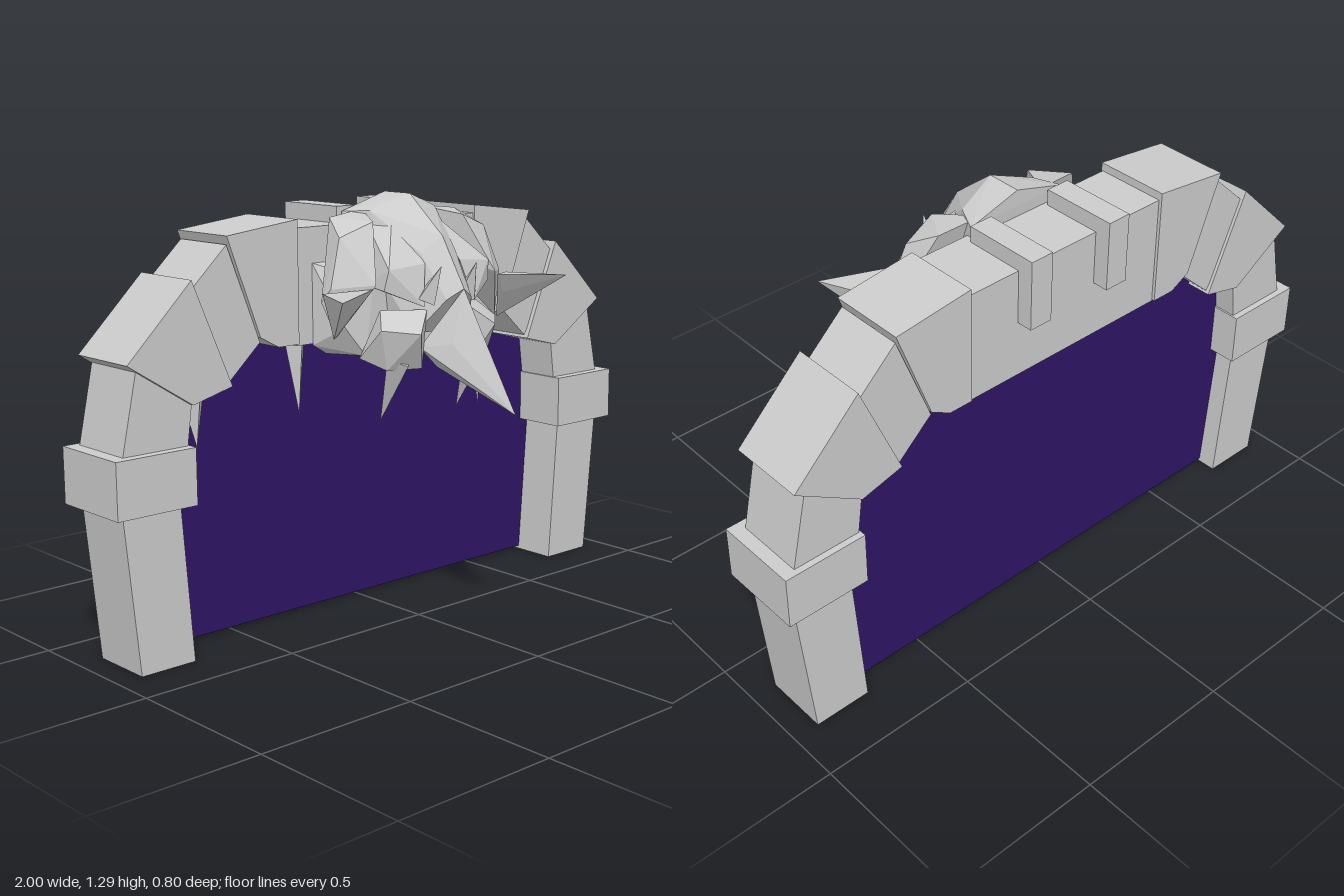
import * as THREE from 'three';
import { ConvexGeometry } from 'three/addons/geometries/ConvexGeometry.js';

const stone = new THREE.MeshStandardMaterial({ color: 0xcccccc, flatShading: true });
const portalMat = new THREE.MeshStandardMaterial({ color: 0x2e1565, side: THREE.DoubleSide });

const toShape = (pts) => new THREE.Shape(pts.map(([x, y]) => new THREE.Vector2(x, y)));

function add(parent, name, geometry, material = stone) {
  const mesh = new THREE.Mesh(geometry, material);
  mesh.name = name;
  parent.add(mesh);
  return mesh;
}

// Stone block: a front outline extruded from zBack to zFront
function block(parent, name, pts, zBack, zFront) {
  const geo = new THREE.ExtrudeGeometry(toShape(pts), { depth: zFront - zBack, bevelEnabled: false });
  geo.translate(0, 0, zBack);
  return add(parent, name, geo);
}

// Faceted chunk: convex hull of a few corners
const chunk = (parent, name, pts) =>
  add(parent, name, new ConvexGeometry(pts.map((p) => new THREE.Vector3(...p))));

const mirrored = (pts, s) => pts.map(([x, ...rest]) => [x * s, ...rest]);
const bothSides = (pts) => [...pts, ...mirrored(pts, -1)];

// Pointed four-sided spike from a base centre to a tip
function spike(parent, name, base, tip, radius) {
  const a = new THREE.Vector3(...base), b = new THREE.Vector3(...tip);
  const dir = b.clone().sub(a);
  const geo = new THREE.ConeGeometry(radius, dir.length(), 4);
  geo.translate(0, dir.length() / 2, 0);
  const mesh = add(parent, name, geo);
  mesh.position.copy(a);
  mesh.quaternion.setFromUnitVectors(new THREE.Vector3(0, 1, 0), dir.normalize());
  return mesh;
}

export function createModel() {
  const model = new THREE.Group();
  model.name = 'gateway';

  // Arch stones, mirrored left and right
  const stones = [
    ['pillar', [[0.74, 0], [0.92, 0], [0.965, 0.48], [0.775, 0.48]], -0.34, -0.138],
    ['pillarCap', [[0.74, 0.465], [1, 0.465], [1, 0.63], [0.74, 0.63]], -0.37, -0.105],
    ['springStone', [[0.75, 0.6], [0.965, 0.6], [0.895, 0.92], [0.72, 0.82]], -0.35, -0.135],
    ['lowerVoussoir', [[0.945, 0.88], [0.73, 1.09], [0.6, 0.78], [0.735, 0.745]], -0.36, -0.12],
    ['upperVoussoir', [[0.755, 1.03], [0.6, 1.175], [0.49, 0.89], [0.6, 0.79]], -0.35, -0.135],
    ['shoulderStone', [[0.605, 1.2], [0.355, 1.23], [0.355, 0.87], [0.43, 0.87], [0.495, 0.905]], -0.36, -0.125],
  ];
  for (const [side, s] of [['left', 1], ['right', -1]]) {
    const half = new THREE.Group();
    half.name = `${side}Arch`;
    for (const [name, pts, z0, z1] of stones) block(half, name, mirrored(pts, s), z0, z1);
    // Clamp hooked over the lintel
    const clamp = add(half, 'clamp', new THREE.BoxGeometry(0.075, 0.215, 0.24));
    clamp.position.set(0.143 * s, 1.147, -0.28);
    model.add(half);
  }
  block(model, 'lintel', [[-0.36, 0.865], [0.36, 0.865], [0.36, 1.205], [-0.36, 1.205]], -0.35, -0.13);

  // Portal sheet
  const outline = bothSides([[0.75, 0.01], [0.8, 0.55], [0.74, 0.82], [0.6, 0.9], [0.48, 0.95]]);
  outline.splice(5, 5, ...outline.slice(5).reverse());
  const portal = add(model, 'portal', new THREE.ShapeGeometry(toShape(outline)), portalMat);
  portal.position.z = -0.28;

  // Spikes hanging under the arch
  spike(model, 'hangingSpike', [-0.67, 0.78, -0.22], [-0.67, 0.6, -0.2], 0.045);
  spike(model, 'hangingSpike', [-0.315, 0.89, -0.2], [-0.315, 0.65, -0.18], 0.04);
  spike(model, 'hangingSpike', [0.45, 0.91, -0.21], [0.45, 0.57, -0.2], 0.045);

  // Beaked skull on the lintel
  const skull = new THREE.Group();
  skull.name = 'skull';
  model.add(skull);
  chunk(skull, 'crown', [
    [0, 1.29, -0.15], [0, 1.29, -0.04], [0, 1.175, 0.1], [0, 1.03, 0.19],
    ...bothSides([[0.17, 1.24, -0.15], [0.13, 1.245, -0.07], [0.07, 1.13, 0.08],
      [0.05, 1.0, 0.17], [0.11, 0.9, 0.1], [0.13, 0.9, -0.13]]),
  ]);
  chunk(skull, 'beak', [
    [0, 1.03, 0.19], [0, 0.69, 0.4], [0, 0.84, 0.05],
    ...bothSides([[0.055, 0.875, 0.2], [0.1, 0.86, 0.11], [0.05, 0.8, 0.13]]),
  ]);
  chunk(skull, 'skullBase', bothSides([
    [0.3, 1.1, -0.13], [0.3, 0.86, -0.13], [0.25, 0.83, -0.13], [0.27, 0.92, -0.02],
    [0.21, 0.835, 0], [0.18, 1.05, 0.0],
  ]));
  for (const s of [1, -1]) {
    const part = (name, pts) => chunk(skull, name, mirrored(pts, s));
    part('cheek', [[0.1, 0.8, 0.12], [0.2, 0.8, 0.08], [0.235, 0.83, 0], [0.1, 0.83, 0],
      [0.15, 0.91, 0.17], [0.23, 0.92, 0.09], [0.19, 0.97, 0.04], [0.08, 0.97, 0.12]]);
    part('brow', [[0.07, 1.24, -0.04], [0.12, 1.24, -0.12], [0.2, 1.09, 0.09], [0.07, 1.1, 0.1],
      [0.21, 1.03, 0.08], [0.1, 0.98, 0.13], [0.2, 1.04, -0.02]]);
    part('hornRoot', [[0.11, 1.245, -0.13], [0.25, 1.23, -0.11], [0.18, 1.22, 0], [0.29, 1.18, -0.02],
      [0.15, 1.1, -0.08], [0.34, 1.04, 0], [0.24, 1.05, 0.08], [0.32, 0.9, 0], [0.35, 1.0, -0.03]]);
    part('horn', [[0.45, 1.03, 0.18], [0.37, 1.03, 0], [0.25, 1.04, 0.08], [0.33, 0.895, 0], [0.3, 0.98, 0.06]]);
    spike(skull, 'fang', [0.155 * s, 0.83, 0.08], [0.155 * s, 0.635, 0], 0.045);
    spike(skull, 'eyeSpike', [0.08 * s, 1.0, 0.12], [0.07 * s, 1.1, 0.17], 0.035);
  }
  return model;
}
